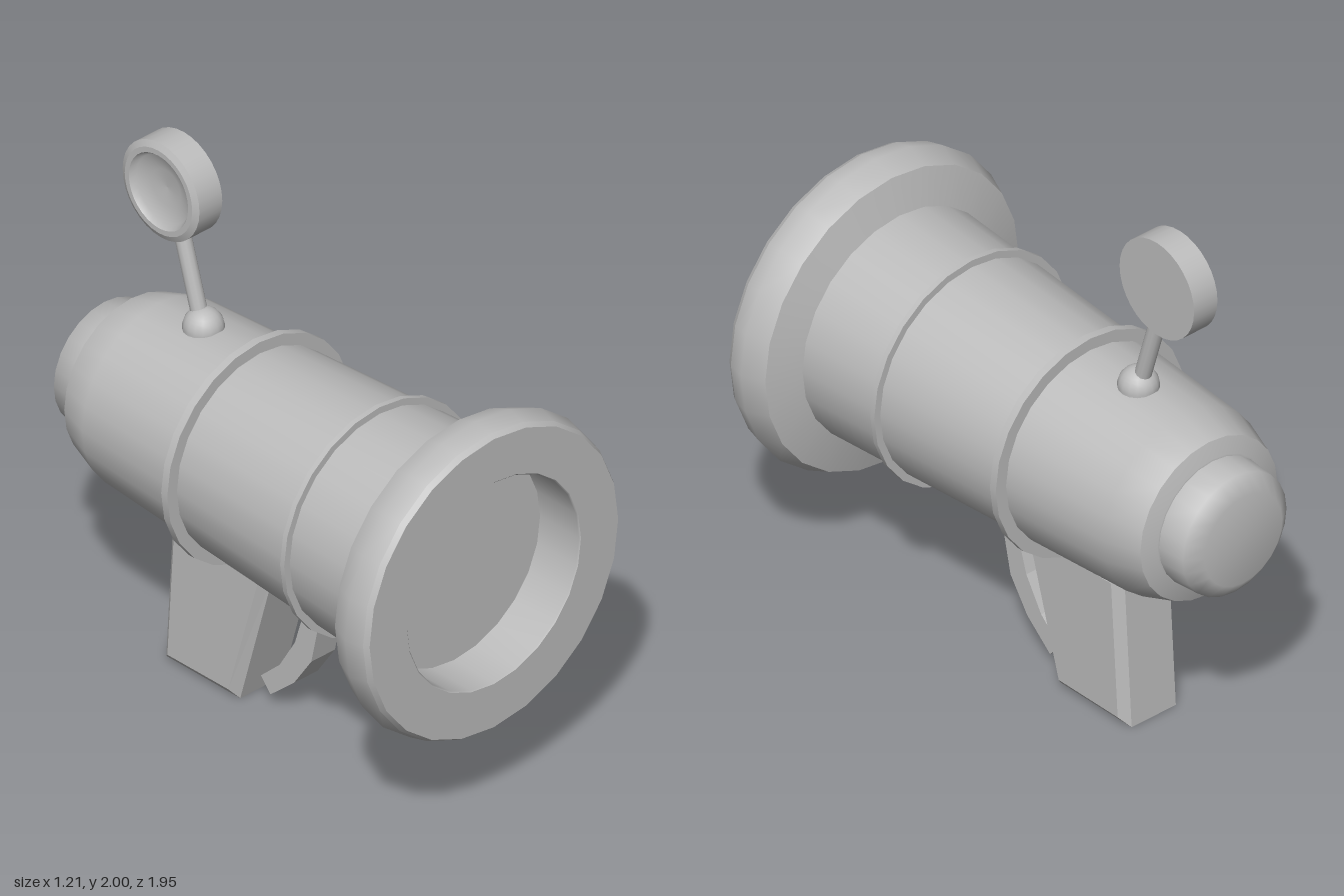
import * as THREE from 'three';

const AXIS_Y = 0.953;

export function createModel() {
  const model = new THREE.Group();
  const grey = new THREE.MeshStandardMaterial({ color: 0xbcbcbc });
  grey.name = 'plainGrey';

  const add = (name, geometry, parent = model) => {
    const mesh = new THREE.Mesh(geometry, grey);
    mesh.name = name;
    parent.add(mesh);
    return mesh;
  };

  // Turned part: each section of [radius, position] is smooth, with hard edges between sections
  const turned = (name, sections, segments = 24) => {
    const group = new THREE.Group();
    group.name = name;
    for (const section of sections) {
      const points = section.map(([r, a]) => new THREE.Vector2(r, a));
      add(name + 'Section', new THREE.LatheGeometry(points, segments), group);
    }
    model.add(group);
    return group;
  };

  // Turned part lying along z on the barrel axis
  const barrelPart = (name, sections) => {
    const group = turned(name, sections);
    group.rotation.x = Math.PI / 2;
    group.position.y = AXIS_Y;
  };

  // Side outline of [z, y] points, extruded across x
  const sidePlate = (name, outline, depth, options = {}) => {
    const shape = new THREE.Shape(outline.map(([z, y]) => new THREE.Vector2(z, y)));
    const geometry = new THREE.ExtrudeGeometry(shape, { depth, bevelEnabled: false, ...options });
    geometry.translate(0, 0, -depth / 2);
    geometry.rotateY(-Math.PI / 2);
    return add(name, geometry);
  };

  // Barrel
  barrelPart('rearCap', [
    [[0, -0.975], [0.175, -0.975], [0.235, -0.93], [0.243, -0.82]],
  ]);
  barrelPart('barrel', [
    [[0.24, -0.82], [0.25, -0.82], [0.31, -0.8]],
    [[0.31, -0.8], [0.355, -0.665], [0.437, 0.765]],
  ]);
  barrelPart('muzzleRing', [
    [[0.43, 0.762], [0.573, 0.8]],
    [[0.573, 0.8], [0.607, 0.885], [0.59, 0.955]],
    [[0.59, 0.955], [0.578, 0.975]],
    [[0.578, 0.975], [0.405, 0.975]],
    [[0.405, 0.975], [0.4, 0.97], [0.4, 0.78]],
    [[0.4, 0.78], [0, 0.78]],
  ]);

  // Raised bands
  for (const [name, z, r, w] of [['frontBand', 0.405, 0.443, 0.02], ['rearBand', -0.187, 0.428, 0.03]]) {
    const inner = r - 0.06;
    barrelPart(name, [
      [[inner, z - w / 2], [r, z - w / 2]],
      [[r, z - w / 2], [r, z + w / 2]],
      [[r, z + w / 2], [inner, z + w / 2]],
    ]);
  }

  // Chamfered grip
  sidePlate('grip', [[0.005, 0.585], [-0.485, 0.605], [-0.522, 0.003], [-0.16, 0.003]], 0.2, {
    bevelEnabled: true, bevelThickness: 0.03, bevelSize: 0.036, bevelOffset: -0.036, bevelSegments: 1,
  });

  // Curved trigger
  sidePlate('trigger', [
    [0.11, 0.6], [0.13, 0.55], [0.177, 0.44], [0.14, 0.27], [0.055, 0.145], [-0.06, 0.045],
    [-0.106, 0.1], [-0.015, 0.185], [0.06, 0.31], [0.1, 0.44], [0.055, 0.55], [0.03, 0.6],
  ], 0.11);

  // Sight: domed base, leaning stem and round disc with a dished left-hand face
  const base = add('sightBase', new THREE.SphereGeometry(0.073, 16, 8, 0, Math.PI * 2, 0, Math.PI / 2));
  base.position.set(0, 1.318, -0.445);
  const baseSkirt = add('sightBaseSkirt', new THREE.CylinderGeometry(0.073, 0.073, 0.04, 16));
  baseSkirt.position.set(0, 1.298, -0.445);

  const from = new THREE.Vector3(0, 1.34, -0.458);
  const to = new THREE.Vector3(0, 1.68, -0.56);
  const stem = add('sightStem', new THREE.CylinderGeometry(0.03, 0.03, from.distanceTo(to), 12));
  stem.position.copy(from).lerp(to, 0.5);
  stem.quaternion.setFromUnitVectors(new THREE.Vector3(0, 1, 0), to.sub(from).normalize());

  const disc = turned('sightDisc', [
    [[0, -0.056], [0.188, -0.056]],
    [[0.188, -0.056], [0.188, 0.05]],
    [[0.188, 0.05], [0.165, 0.062]],
    [[0.165, 0.062], [0.145, 0.062]],
    [[0.145, 0.062], [0.13, 0.04], [0.07, 0.025], [0, 0.02]],
  ], 32);
  disc.rotation.z = Math.PI / 2;
  disc.position.set(0, 1.812, -0.6);

  return model;
}
